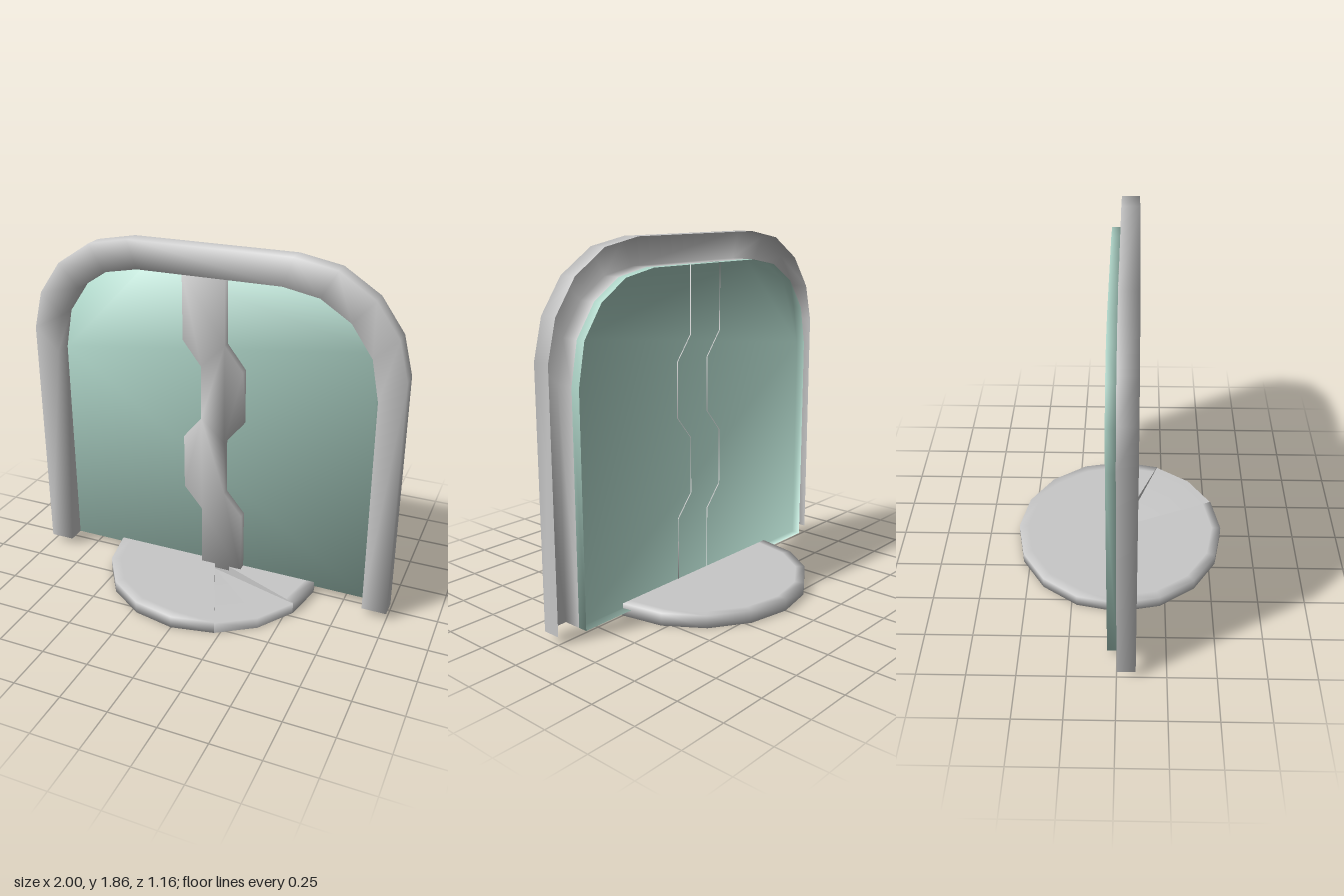
import * as THREE from 'three';

const DEPTH = 0.095, DISC_R = 0.58, DISC_H = 0.065;

// Right half of an arch from foot to crown, mirrored to the left half
const mirrorArch = half => [...half, ...half.map(([x, y]) => [-x, y]).reverse()];
const outer = mirrorArch([[1, 0.04], [1, 1.33], [0.95, 1.53], [0.83, 1.7], [0.645, 1.82], [0.43, 1.86]]);
const inner = mirrorArch([[0.87, 0.04], [0.87, 1.21], [0.83, 1.42], [0.72, 1.58], [0.565, 1.68], [0.38, 1.715]]);

// Wavy strip outline, anticlockwise: left edge downwards, then right edge upwards
const wave = [[-0.16, 1.715], [-0.16, 1.36], [-0.06, 1.23], [-0.06, 0.94],
  [-0.16, 0.82], [-0.16, 0.52], [-0.06, 0.4], [-0.06, 0.04]];
const strip = [...wave, ...wave.map(([x, y]) => [x + 0.23, y]).reverse()];

function buildGeometry(pos, idx) {
  const g = new THREE.BufferGeometry();
  g.setAttribute('position', new THREE.Float32BufferAttribute(pos, 3));
  g.setIndex(idx);
  g.computeVertexNormals();
  return g;
}

// Open-backed channel: outer wall, front face and inner wall
function channelGeometry() {
  const pos = [], idx = [];
  outer.forEach(([ox, oy], i) => {
    const [ix, iy] = inner[i];
    pos.push(ox, oy, 0, ox, oy, DEPTH, ix, iy, DEPTH, ix, iy, 0);
    if (i === outer.length - 1) return;
    for (let j = 0; j < 3; j++) {
      const a = i * 4 + j, b = a + 1, c = a + 4, d = a + 5;
      idx.push(a, c, b, b, c, d);
    }
  });
  return buildGeometry(pos, idx);
}

// Open-backed tray: a front sheet and a wall round its outline, shaded as one soft surface
function trayGeometry(outline, front, back) {
  const n = outline.length, pts = outline.map(([x, y]) => new THREE.Vector2(x, y));
  const pos = [], idx = THREE.ShapeUtils.triangulateShape(pts, []).flat();
  for (const z of [front, back]) pts.forEach(p => pos.push(p.x, p.y, z));
  for (let i = 0; i < n; i++) {
    const j = (i + 1) % n;
    idx.push(i, i + n, j, j, i + n, j + n);
  }
  const g = buildGeometry(pos, idx);
  // Front corners lean halfway between the sheet and the walls
  const side = (a, b) => new THREE.Vector3(b.y - a.y, a.x - b.x, 0).normalize();
  pts.forEach((p, i) => {
    const out = side(pts[(i + n - 1) % n], p).add(side(p, pts[(i + 1) % n])).normalize();
    g.attributes.normal.setXYZ(i + n, out.x, out.y, 0);
    out.setZ(1).normalize();
    g.attributes.normal.setXYZ(i, out.x, out.y, out.z);
  });
  return g;
}

export function createModel() {
  const group = new THREE.Group();
  const grey = new THREE.MeshStandardMaterial({ name: 'light grey', color: 0xc8c8c8, side: THREE.DoubleSide });
  const green = new THREE.MeshStandardMaterial({ name: 'pale green', color: 0xb2d9cc, side: THREE.DoubleSide });

  const add = (name, geometry, material) => {
    const mesh = new THREE.Mesh(geometry, material);
    mesh.name = name;
    group.add(mesh);
    return mesh;
  };

  add('archFrame', channelGeometry(), grey);
  add('panel', trayGeometry(inner, 0, -0.05), green);

  // Raised strip whose wall edges just pass through the panel
  add('wavyStrip', trayGeometry(strip, 0.042, -0.006), grey);

  // Round base, with one sector at the front left sloping down to the centre
  const base = (name, profile, start, sweep, segments) => add(name, new THREE.LatheGeometry(
    profile.map(([x, y]) => new THREE.Vector2(x, y)), segments,
    THREE.MathUtils.degToRad(start), THREE.MathUtils.degToRad(sweep)), grey);
  const rim = DISC_R - 0.05;
  base('baseDisc', [[0, 0], [rim, 0], [DISC_R, 0], [DISC_R, DISC_H], [rim, DISC_H], [0, DISC_H]], 67.5, 315, 14);
  base('baseSlopedSector', [[DISC_R, 0], [DISC_R, 0.06], [0, 0.002]], 22.5, 45, 2);

  // Upright sides of the sector
  const section = new THREE.PlaneGeometry(DISC_R, DISC_H).translate(DISC_R / 2, DISC_H / 2, 0);
  for (const angle of [22.5, 67.5]) {
    add('sectorWall', section, grey).rotation.y = THREE.MathUtils.degToRad(angle - 90);
  }
  return group;
}
